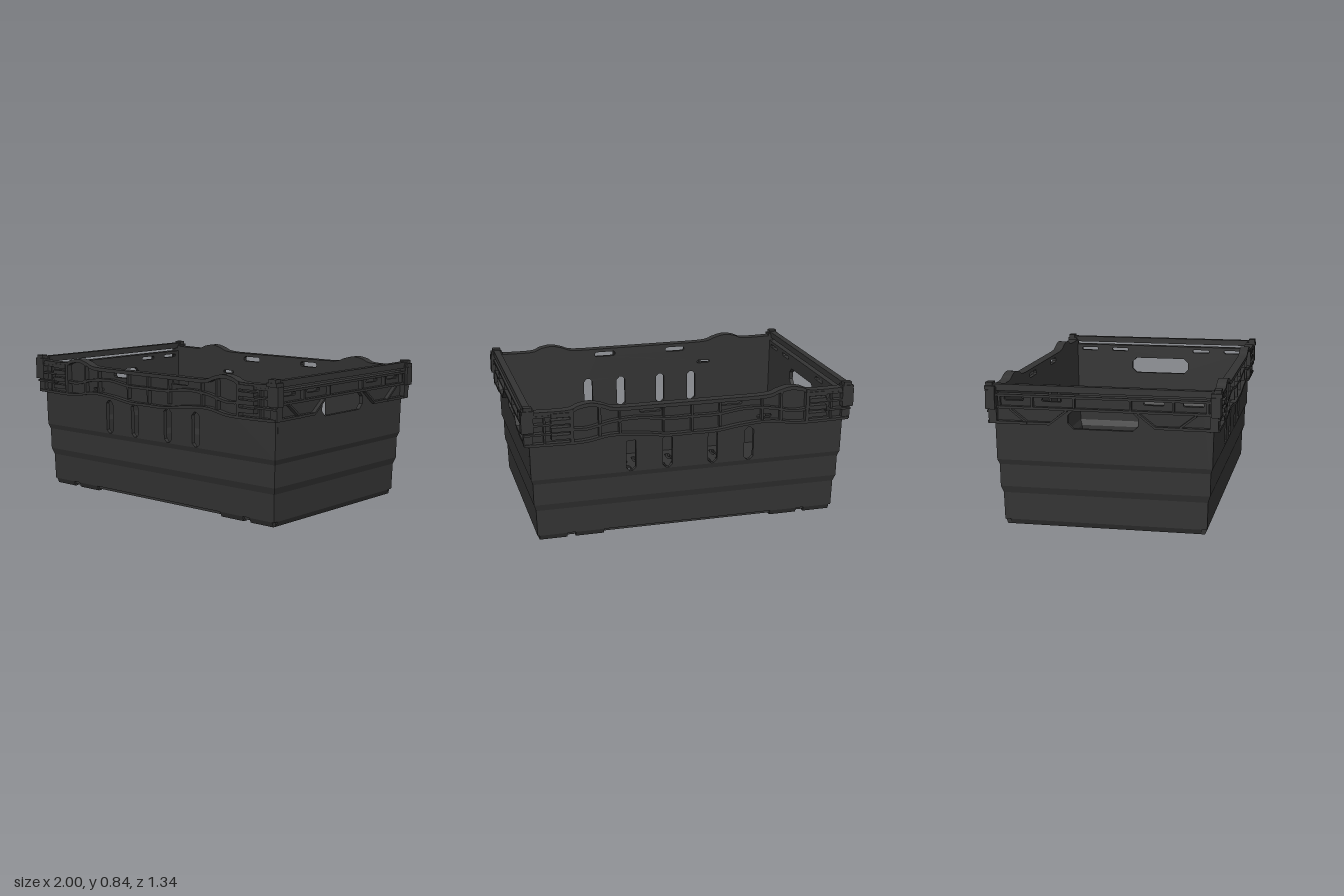
import * as THREE from 'three';

const material = new THREE.MeshStandardMaterial({ color: 0x333333 });
const WALL = 0.025;

// Wall profile: [height, half length]; the half depth is a constant amount less
const PROFILE = [[0, 0.905], [0.03, 0.918], [0.19, 0.922], [0.23, 0.935], [0.36, 0.937], [0.39, 0.948], [0.85, 0.957]];
const halfX = (y) => {
  let i = 1;
  while (i < PROFILE.length - 1 && y > PROFILE[i][0]) i++;
  const [y0, a] = PROFILE[i - 1], [y1, b] = PROFILE[i];
  return a + (b - a) * (y - y0) / (y1 - y0);
};
const halfZ = (y) => halfX(y) - 0.33;

function add(group, name, geometry) {
  const mesh = new THREE.Mesh(geometry, material);
  mesh.name = name;
  group.add(mesh);
  return mesh;
}

// Box given by its limits
function box(group, name, x0, x1, y0, y1, z0, z1) {
  const g = new THREE.BoxGeometry(Math.abs(x1 - x0), y1 - y0, z1 - z0);
  add(group, name, g.translate((x0 + x1) / 2, (y0 + y1) / 2, (z0 + z1) / 2));
}

const toShape = (points) => new THREE.Shape(points.map(([x, y]) => new THREE.Vector2(x, y)));

// Opening with cut corners
function slot(x, y, w, h, c = Math.min(w, h) * 0.3) {
  const a = w / 2, b = h / 2;
  return new THREE.Path([[-a + c, -b], [a - c, -b], [a, -b + c], [a, b - c], [a - c, b], [-a + c, b], [-a, b - c], [-a, -b + c]]
    .map(([u, v]) => new THREE.Vector2(x + u, y + v)));
}

// Mirrors a half outline (x from 0 outwards) into a full left-to-right line
const mirror = (half) => [...half.filter((p) => p[0] > 0).reverse().map(([x, y]) => [-x, y]), ...half];

function smooth(half) {
  const pts = mirror(half).map(([x, y]) => new THREE.Vector2(x, y));
  return new THREE.SplineCurve(pts).getPoints(72).map((p) => [p.x, p.y]);
}

// Wall slab between two outlines, leaning along the profile
function panel(group, name, bottom, top, holes, offset) {
  const shape = toShape([...bottom, ...[...top].reverse()]);
  shape.holes.push(...holes);
  const g = new THREE.ExtrudeGeometry(shape, { depth: WALL, bevelEnabled: false });
  g.translate(0, 0, -WALL);
  const p = g.attributes.position;
  for (let i = 0; i < p.count; i++) p.setZ(i, p.getZ(i) + offset(p.getY(i)));
  g.computeVertexNormals();
  add(group, name, g);
}

// Flange that follows a line across the wall
function strip(group, name, line, thickness, z0, z1) {
  const lower = line.map(([x, y]) => [x, y - thickness]);
  const g = new THREE.ExtrudeGeometry(toShape([...lower, ...[...line].reverse()]), { depth: z1 - z0, bevelEnabled: false });
  add(group, name, g.translate(0, 0, z0));
}

const line = (half, y) => [[-half(y), y], [half(y), y]];

// Stacked bands of plain wall up to the last step
function lowerWall(group, half, offset, foot) {
  for (let i = 0; i < 5; i++) {
    const y0 = PROFILE[i][0], y1 = PROFILE[i + 1][0];
    if (i === 0) foot.forEach(([a, b]) => panel(group, 'wallFoot', [[a, 0], [b, 0]], [[a, y1], [b, y1]], [], offset));
    else panel(group, 'wallBand', line(half, y0), line(half, y1), [], offset);
  }
}

function longSide(smallHoleX) {
  const g = new THREE.Group();
  g.name = 'longSide';
  lowerWall(g, halfX, halfZ, [[-0.905, -0.74], [-0.69, -0.52], [0.52, 0.69], [0.74, 0.905]]);
  box(g, 'baseRecess', -0.9, 0.9, 0.012, 0.04, 0.54, 0.572);

  const topEdge = smooth([[0, 0.80], [0.2, 0.80], [0.45, 0.802], [0.53, 0.825], [0.6, 0.84], [0.67, 0.83], [0.74, 0.808], [0.955, 0.81]]);
  const midEdge = smooth([[0, 0.715], [0.15, 0.715], [0.32, 0.735], [0.48, 0.725], [0.62, 0.695], [0.72, 0.7]]);
  const lowEdge = smooth([[0, 0.615], [0.15, 0.615], [0.3, 0.635], [0.48, 0.645], [0.62, 0.622], [0.74, 0.618], [0.975, 0.622]]);

  // Upper wall with ventilation slots and rim openings
  const holes = [-0.36, -0.14, 0.135, 0.36].map((x) => slot(x, 0.496, 0.058, 0.205, 0.02));
  holes.push(slot(-0.245, 0.763, 0.13, 0.03), slot(0.24, 0.763, 0.14, 0.03), slot(smallHoleX, 0.662, 0.09, 0.02));
  panel(g, 'upperWall', line(halfX, 0.39), topEdge, holes, halfZ);

  // Wavy rim flanges
  strip(g, 'topFlange', topEdge, 0.022, 0.612, 0.658);
  strip(g, 'middleFlange', midEdge, 0.016, 0.612, 0.655);
  strip(g, 'lowerFlange', lowEdge, 0.016, 0.612, 0.657);
  for (const s of [-1, 1]) {
    for (const x of [0.17, 0.43]) box(g, 'rimRib', s * x - 0.006, s * x + 0.006, 0.63, 0.795, 0.615, 0.65);
    box(g, 'rimRib', s * 0.54, s * 0.555, 0.63, 0.81, 0.615, 0.652);
    box(g, 'rimRib', s * 0.7, s * 0.72, 0.615, 0.81, 0.615, 0.66);
    // Ribbed corner grip
    for (const y of [0.64, 0.685, 0.73, 0.77]) box(g, 'cornerGrip', s * 0.72, s * 0.83, y, y + 0.026, 0.615, 0.664);
    for (const y of [0.67, 0.725, 0.775]) box(g, 'cornerRail', s * 0.83, s * 0.985, y, y + 0.012, 0.615, 0.66);
    box(g, 'rimRib', s * 0.86, s * 0.872, 0.615, 0.8, 0.615, 0.65);
  }
  box(g, 'rimRib', -0.006, 0.006, 0.605, 0.795, 0.615, 0.65);
  return g;
}

function shortSide() {
  const g = new THREE.Group();
  g.name = 'shortSide';
  const half = (y) => halfZ(y) - 0.02;
  lowerWall(g, half, halfX, [[-0.555, 0.555]]);

  // Upper wall with hand hole and rim openings
  const holes = [-0.51, -0.29, 0.29, 0.51].map((x) => slot(x, 0.747, 0.115, 0.02));
  holes.push(slot(0, 0.638, 0.4, 0.105, 0.03));
  panel(g, 'handleWall', line(half, 0.39), line(half, 0.777), holes, halfX);

  // Rim flanges, with the lower one stepping up around the hand hole
  strip(g, 'upperFlange', [[-0.65, 0.777], [0.65, 0.777]], 0.014, 0.945, 0.985);
  strip(g, 'middleFlange', [[-0.65, 0.708], [0.65, 0.708]], 0.014, 0.945, 0.982);
  for (const s of [-1, 1]) {
    const lower = [[0.2, 0.7], [0.3, 0.622], [0.43, 0.622], [0.53, 0.7]].map(([x, y]) => [s * x, y]);
    strip(g, 'lowerFlange', s > 0 ? lower : lower.reverse(), 0.015, 0.945, 0.978);
    strip(g, 'cornerFlange', [[s * 0.43, 0.622], [s * 0.64, 0.622]].sort((a, b) => a[0] - b[0]), 0.015, 0.945, 0.982);
    for (const x of [0.16, 0.4, 0.59]) box(g, 'rimRib', s * x - 0.006, s * x + 0.006, 0.7, 0.77, 0.945, 0.98);
  }

  // Swing bar lying above the rim, with its end arms
  box(g, 'swingBar', -0.64, 0.64, 0.795, 0.832, 0.94, 0.98);
  return g;
}

function floor() {
  const g = new THREE.Group();
  g.name = 'floor';
  const shape = toShape([[-0.9, -0.57], [0.9, -0.57], [0.9, 0.57], [-0.9, 0.57]]);
  const columns = Array.from({ length: 17 }, (_, i) => (i - 8) * 0.0793);
  columns.push(-0.83, 0.83);
  for (const z of [-0.455, -0.31, -0.16, 0.145, 0.29, 0.445])
    for (const x of columns) shape.holes.push(slot(x, -z, 0.036, 0.1));
  for (const z of [-0.542, 0.53])
    for (const x of [-0.83, -0.635, -0.315, 0, 0.315, 0.635, 0.83]) shape.holes.push(slot(x, -z, 0.042, 0.024));
  for (const x of [-0.83, -0.635, 0.635, 0.83]) shape.holes.push(slot(x, 0, 0.04, 0.022));
  const plate = new THREE.ExtrudeGeometry(shape, { depth: 0.02, bevelEnabled: false });
  add(g, 'floorPlate', plate.rotateX(-Math.PI / 2).translate(0, 0.03, 0));

  // Ribs under the floor
  for (const s of [-1, 1]) {
    box(g, 'longRib', -0.74, 0.74, 0.008, 0.032, s * 0.509 - 0.006, s * 0.509 + 0.006);
    box(g, 'longRib', -0.74, 0.74, 0.015, 0.032, s * 0.07 - 0.006, s * 0.07 + 0.006);
    for (const x of [0.69, 0.74]) box(g, 'crossRib', s * x - 0.006, s * x + 0.006, 0.008, 0.032, -0.509, 0.509);
  }
  return g;
}

export function createModel() {
  const crate = new THREE.Group();
  crate.name = 'crate';
  const back = longSide(0.45);
  back.rotation.y = Math.PI;
  const left = shortSide(), right = shortSide();
  left.rotation.y = Math.PI / 2;
  right.rotation.y = -Math.PI / 2;
  crate.add(longSide(-0.45), back, left, right, floor());

  // Corner posts with raised stacking caps
  for (const sx of [-1, 1]) for (const sz of [-1, 1]) {
    const z = (a, b) => (sz > 0 ? [a, b] : [-b, -a]);
    box(crate, 'cornerPost', sx * 0.935, sx * 0.985, 0.608, 0.815, ...z(0.605, 0.65));
    box(crate, 'cornerFlange', sx * 0.93, sx * 1.0, 0.69, 0.8, ...z(0.61, 0.664));
    box(crate, 'stackingCap', sx * 0.925, sx * 0.995, 0.8, 0.822, ...z(0.61, 0.67));
    box(crate, 'stackingCap', sx * 0.935, sx * 0.985, 0.82, 0.842, ...z(0.625, 0.665));
  }
  return crate;
}
